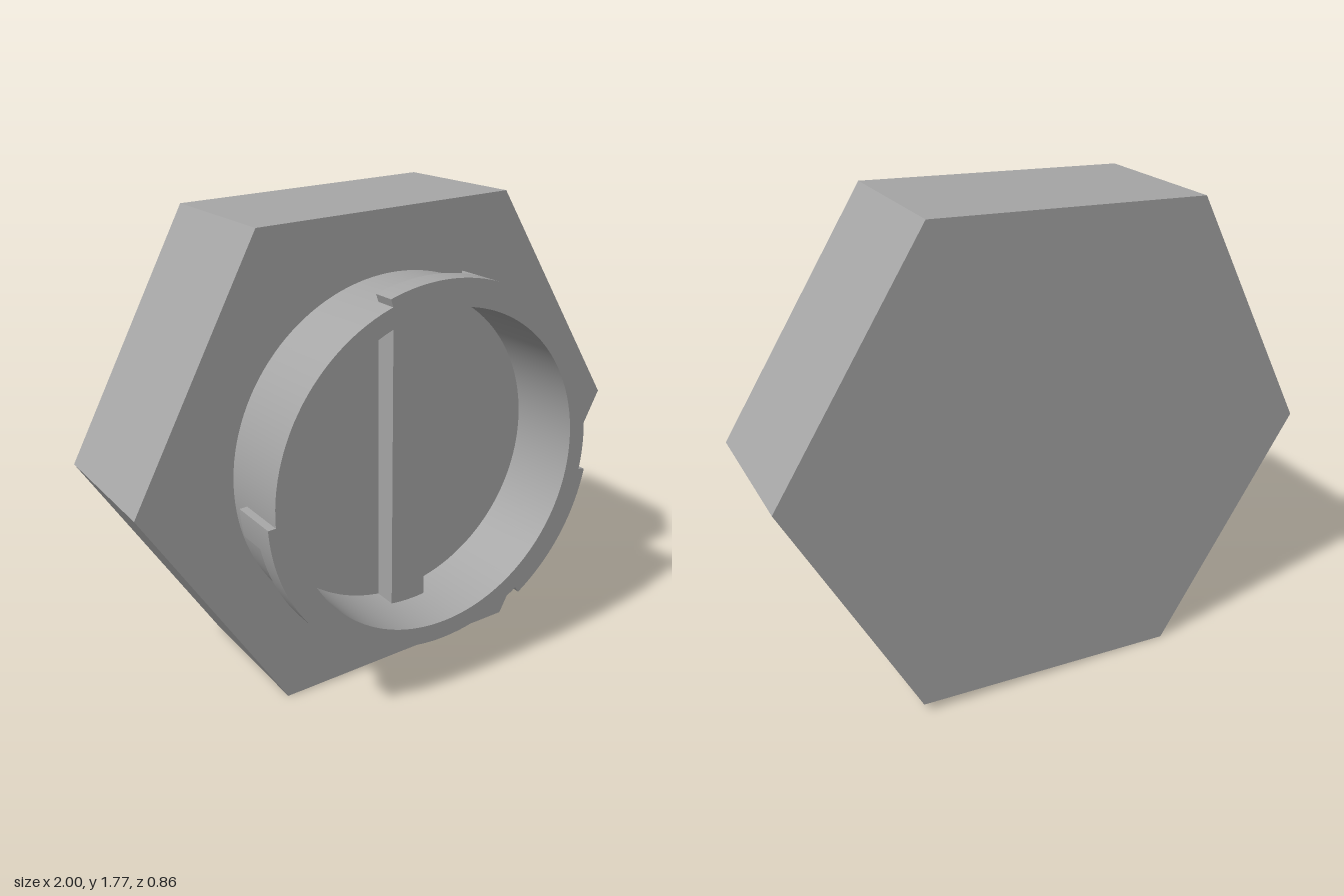
import * as THREE from 'three';
import { toCreasedNormals } from 'three/addons/utils/BufferGeometryUtils.js';

const CENTER_Y = 0.885;
const PLATE_BACK = -0.43, PLATE_FRONT = 0.14, RIM_FRONT = 0.43;
const RIM_INNER = 0.58, RIM_OUTER = 0.648, LUG_OUTER = 0.676;
const rad = THREE.MathUtils.degToRad;

export function createModel() {
  const grey = new THREE.MeshStandardMaterial({ color: 0xa6a6a6 });
  grey.name = 'grey plastic';

  const model = new THREE.Group();
  model.name = 'bayonetCap';

  // Extrude a shape between two depths, smooth around curves and sharp at edges
  function addExtrusion(name, shape, z0, z1, parent = model) {
    const solid = new THREE.ExtrudeGeometry(shape, { depth: z1 - z0, bevelEnabled: false, curveSegments: 64 });
    const mesh = new THREE.Mesh(toCreasedNormals(solid, rad(30)), grey);
    mesh.name = name;
    mesh.position.set(0, parent === model ? CENTER_Y : 0, z0);
    parent.add(mesh);
  }

  // Part of a ring between two angles in degrees
  function arcShape(inner, outer, from, to) {
    const shape = new THREE.Shape();
    shape.absarc(0, 0, outer, rad(from), rad(to), false);
    shape.absarc(0, 0, inner, rad(to), rad(from), true);
    shape.closePath();
    return shape;
  }

  // Hexagonal grip, turned by two degrees
  const corners = [];
  for (let i = 0; i < 6; i++) {
    const a = rad(2 + i * 60);
    corners.push(new THREE.Vector2(Math.cos(a), Math.sin(a)));
  }
  addExtrusion('hexGrip', new THREE.Shape(corners), PLATE_BACK, PLATE_FRONT);

  // Round hollow rim
  const ring = new THREE.Shape();
  ring.absarc(0, 0, RIM_OUTER, 0, Math.PI * 2, false);
  const hole = new THREE.Path();
  hole.absarc(0, 0, RIM_INNER, 0, Math.PI * 2, true);
  ring.holes.push(hole);
  addExtrusion('rim', ring, PLATE_FRONT, RIM_FRONT);

  // Three L-shaped locking lugs: a deep stop followed by a thin lip
  for (let i = 0; i < 3; i++) {
    const lug = new THREE.Group();
    lug.name = 'lockingLug' + (i + 1);
    lug.position.y = CENTER_Y;
    lug.rotation.z = rad(63 + i * 120);
    addExtrusion('lugStop', arcShape(RIM_OUTER - 0.02, LUG_OUTER, 0, 8.8), 0.233, RIM_FRONT, lug);
    addExtrusion('lugLip', arcShape(RIM_OUTER - 0.02, LUG_OUTER, 8.8, 45.8), 0.345, RIM_FRONT, lug);
    model.add(lug);
  }

  // Bar across the recess, its ends buried in the rim
  const bar = new THREE.Mesh(new THREE.BoxGeometry(0.144, 1.18, 0.1), grey);
  bar.name = 'crossBar';
  bar.position.set(0, CENTER_Y, PLATE_FRONT + 0.04);
  model.add(bar);

  return model;
}
